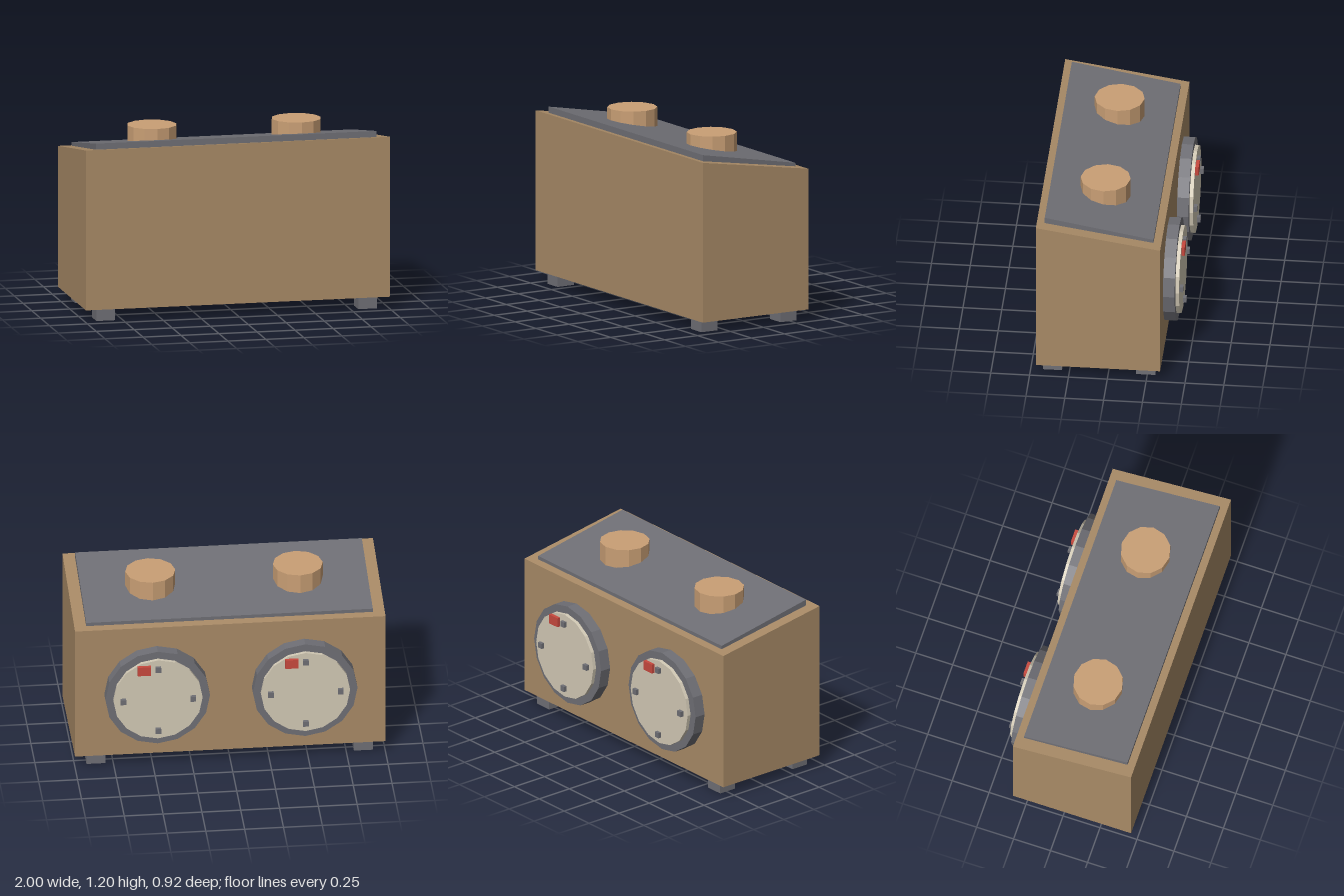
import * as THREE from 'three';

const material = (name, color) => Object.assign(new THREE.MeshStandardMaterial({ color, flatShading: true }), { name });

export function createModel() {
  const wood = material('wood', 0xa88a66);
  const lightWood = material('light wood', 0xc99f75);
  const slate = material('slate grey', 0x6f6f75);
  const cream = material('cream', 0xd2c9b5);
  const red = material('red', 0xc8493e);

  const model = new THREE.Group();
  model.name = 'cabinet';

  function add(parent, name, geometry, mat, x = 0, y = 0, z = 0) {
    const mesh = new THREE.Mesh(geometry, mat);
    mesh.name = name;
    mesh.position.set(x, y, z);
    parent.add(mesh);
    return mesh;
  }

  // Side profile of [z, y] points, extruded across the width
  function prism(points, width) {
    const shape = new THREE.Shape(points.map(([z, y]) => new THREE.Vector2(z, y)));
    return new THREE.ExtrudeGeometry(shape, { depth: width, bevelEnabled: false })
      .translate(0, 0, -width / 2)
      .rotateY(-Math.PI / 2);
  }

  // Disc whose axis runs front to back
  const disc = (radius, depth, sides) =>
    new THREE.CylinderGeometry(radius, radius, depth, sides).rotateX(-Math.PI / 2);

  // Body with sloping top, and the panel lying on it
  add(model, 'body', prism([[-0.34, 0.08], [0.46, 0.08], [0.46, 1.125], [-0.34, 1.0]], 2), wood);
  add(model, 'topPanel', prism([[-0.29, 1.0], [0.41, 1.11], [0.41, 1.157], [-0.29, 1.031]], 1.846), slate);

  for (const side of [-1, 1]) {
    const label = side > 0 ? 'left' : 'right';
    const x = side * 0.475;

    // Feet
    add(model, label + 'FrontFoot', new THREE.BoxGeometry(0.123, 0.08, 0.123), slate, side * 0.861, 0.04, 0.36);
    add(model, label + 'BackFoot', new THREE.BoxGeometry(0.123, 0.08, 0.123), slate, side * 0.861, 0.04, -0.24);

    // Round knob standing on the panel
    add(model, label + 'Knob', new THREE.CylinderGeometry(0.161, 0.161, 0.155, 12), lightWood, x, 1.1175, 0.06);

    // Dial on the back: rim, face, four markers and a red tab
    const dial = new THREE.Group();
    dial.name = label + 'Dial';
    dial.position.set(x, 0.527, -0.34);
    model.add(dial);
    add(dial, 'rim', disc(0.337, 0.075, 16), slate, 0, 0, -0.0375);
    add(dial, 'face', disc(0.287, 0.024, 16), cream, 0, 0, -0.087);
    for (const [mx, my] of [[0, 1], [1, 0], [0, -1], [-1, 0]]) {
      add(dial, 'marker', new THREE.BoxGeometry(0.036, 0.036, 0.024), slate, mx * 0.225, my * 0.225, -0.109);
    }
    add(dial, 'tab', new THREE.BoxGeometry(0.085, 0.062, 0.024), red, 0.09, 0.22, -0.109);
  }

  return model;
}
